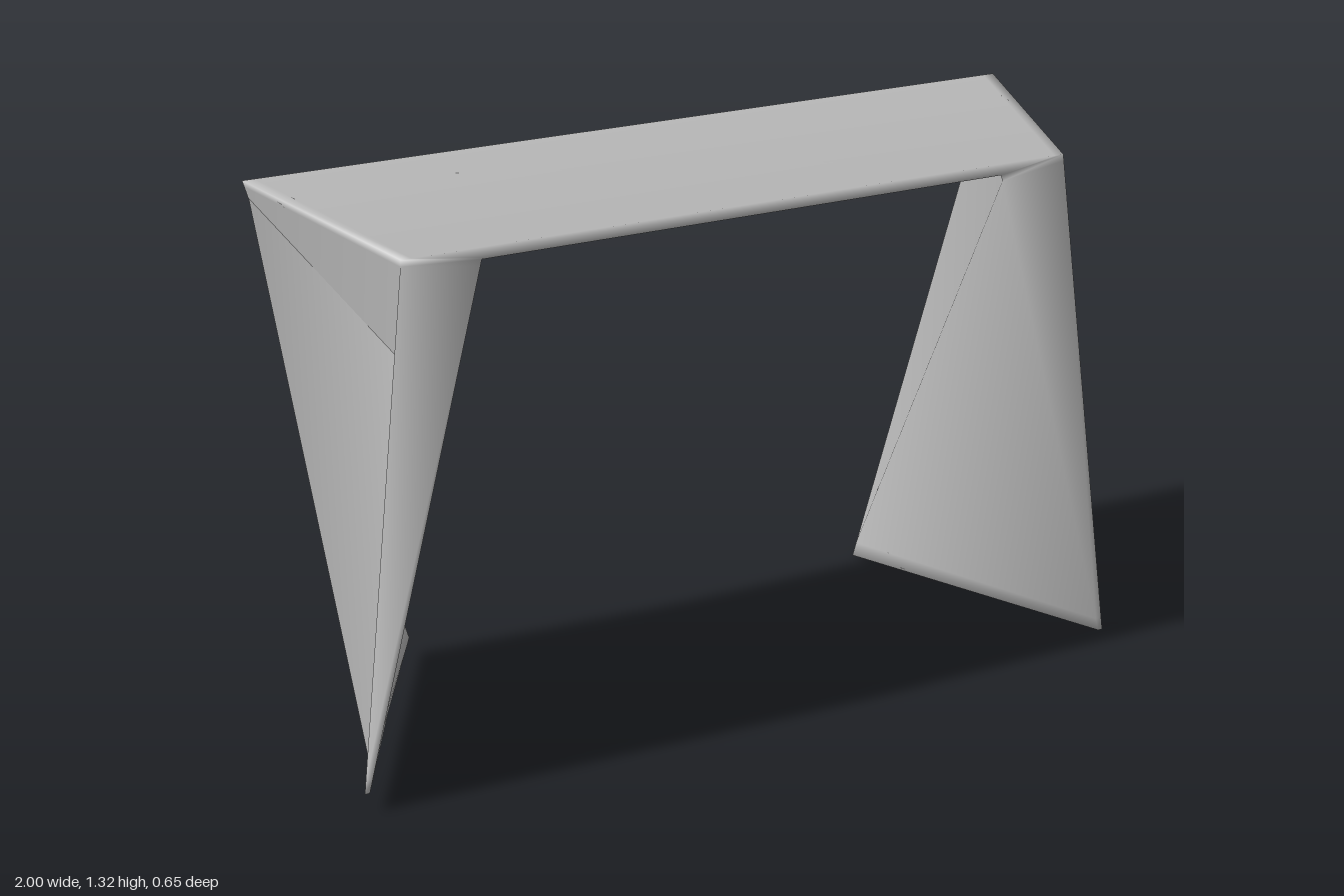
import * as THREE from 'three';

const BACK = -0.325, FRONT = 0.325;

// A station across the strip: outer back, outer front, inner back, inner front
const station = (outerX, outerY, innerX, innerY) => [
  new THREE.Vector3(outerX[0], outerY, BACK), new THREE.Vector3(outerX[1], outerY, FRONT),
  new THREE.Vector3(innerX[0], innerY, BACK), new THREE.Vector3(innerX[1], innerY, FRONT),
];
const leftFoot = station([-0.66, -1], 0.05, [-0.672, -0.988], 0.05);
const leftCorner = station([-1, -0.85], 1.315, [-0.992, -0.67], 1.288);
const rightCorner = station([1, 0.79], 1.315, [0.988, 0.62], 1.288);
const rightFoot = station([0.63, 1], 0, [0.622, 0.988], 0);

// Extra station a fraction t of the way along a panel, keeping its end tight
const near = (from, to, t) => from.map((p, i) => p.clone().lerp(to[i], t));

const points = [
  leftFoot, near(leftFoot, leftCorner, 0.028), near(leftCorner, leftFoot, 0.012),
  leftCorner, near(leftCorner, rightCorner, 0.015),
  near(rightCorner, leftCorner, 0.015), rightCorner,
  near(rightCorner, rightFoot, 0.012), near(rightFoot, rightCorner, 0.028), rightFoot,
].flat();

const quad = (a, b, c, d) => [a, b, c, a, c, d];

// Skins and edges between station s and the next; the two skins are creased
// along opposite diagonals
function panel(s) {
  const p = s * 4, q = p + 4;
  return [
    ...quad(p, p + 1, q + 1, q),
    ...quad(q + 2, q + 3, p + 3, p + 2),
    ...quad(p + 1, p + 3, q + 3, q + 1),
    ...quad(q, q + 2, p + 2, p),
  ];
}

// Smooth normals, each face weighted by its angle at the vertex
function smoothNormals(index) {
  const normals = points.map(() => new THREE.Vector3());
  for (let i = 0; i < index.length; i += 3) {
    const tri = index.slice(i, i + 3);
    const [a, b, c] = tri.map((k) => points[k]);
    const face = new THREE.Triangle(a, b, c).getNormal(new THREE.Vector3());
    tri.forEach((k, j) => {
      const toNext = points[tri[(j + 1) % 3]].clone().sub(points[k]);
      const toLast = points[tri[(j + 2) % 3]].clone().sub(points[k]);
      normals[k].addScaledVector(face, toNext.angleTo(toLast));
    });
  }
  return normals.flatMap((n) => n.normalize().toArray());
}

export function createModel() {
  const group = new THREE.Group();
  group.name = 'foldedTable';

  // Each leg is closed by a quad under its foot
  const parts = {
    rightLeg: [...quad(1, 0, 2, 3), ...[0, 1, 2].flatMap(panel)],
    tableTop: [3, 4, 5].flatMap(panel),
    leftLeg: [...[6, 7, 8].flatMap(panel), ...quad(36, 37, 39, 38)],
  };

  // The parts share one set of corners, so the shading runs on over the bends
  const position = new THREE.Float32BufferAttribute(points.flatMap((p) => p.toArray()), 3);
  const normal = new THREE.Float32BufferAttribute(smoothNormals(Object.values(parts).flat()), 3);

  // The twisted skins of the legs cross, so both sides can show
  const material = new THREE.MeshStandardMaterial({ color: 0xcccccc, side: THREE.DoubleSide });
  for (const [name, index] of Object.entries(parts)) {
    const geometry = new THREE.BufferGeometry();
    geometry.setAttribute('position', position);
    geometry.setAttribute('normal', normal);
    geometry.setIndex(index);
    const mesh = new THREE.Mesh(geometry, material);
    mesh.name = name;
    group.add(mesh);
  }
  return group;
}
